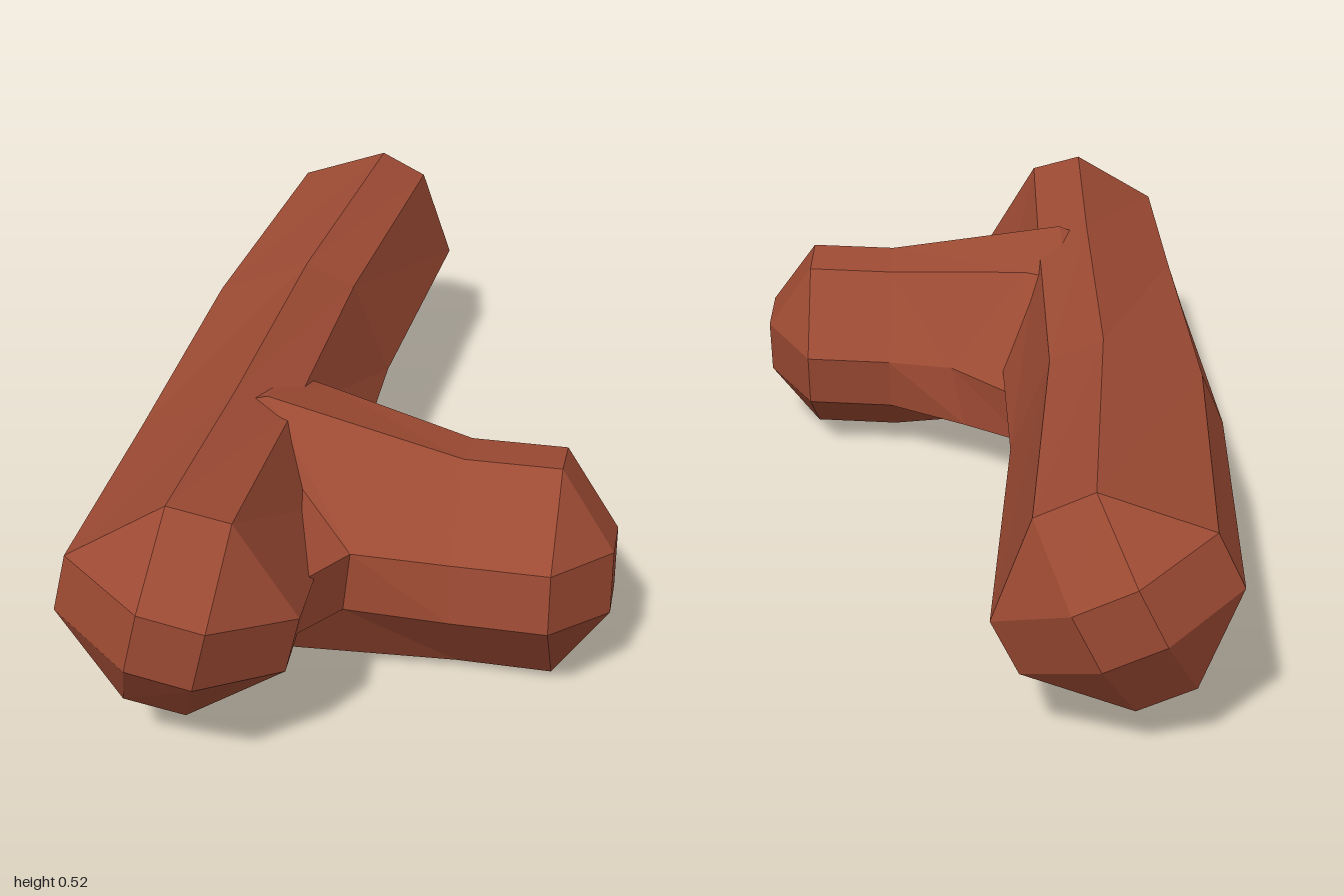
import * as THREE from 'three';

const RAD = Math.PI / 180;

// Chamfered square outline: 8 [across, up] points, clockwise from the top narrow side
function octagon(ca, cy, tilt, r) {
  const pts = [];
  for (let k = 0; k < 4; k++) {
    for (const d of [-15.5, 15.5]) {
      const a = (tilt + 90 * k + d) * RAD;
      pts.push([ca + r * Math.sin(a), cy + r * Math.cos(a)]);
    }
  }
  return pts;
}

// Small square at the tip, each corner doubled so it joins an octagon
function tipSquare(ca, cy, tilt, r) {
  const q = [0, 1, 2, 3].map((k) => {
    const a = (tilt + 90 * k - 45) * RAD;
    return [ca + r * Math.sin(a), cy + r * Math.cos(a)];
  });
  return [0, 1, 1, 2, 2, 3, 3, 0].map((i) => q[i]);
}

// Skins consecutive 8-point rings and closes both ends
function loft(rings) {
  const pos = [];
  const tri = (a, b, c) => {
    const u = new THREE.Vector3(...b).sub(new THREE.Vector3(...a));
    const v = new THREE.Vector3(...c).sub(new THREE.Vector3(...a));
    if (u.cross(v).length() > 1e-8) pos.push(...a, ...b, ...c);
  };
  for (let s = 0; s + 1 < rings.length; s++) {
    const a = rings[s], b = rings[s + 1];
    for (let i = 0; i < 8; i++) {
      const j = (i + 1) % 8;
      tri(a[i], b[i], a[j]);
      tri(a[j], b[i], b[j]);
    }
  }
  const first = rings[0], last = rings[rings.length - 1];
  for (let i = 1; i < 7; i++) {
    tri(first[0], first[i], first[i + 1]);
    tri(last[0], last[i + 1], last[i]);
  }
  const g = new THREE.BufferGeometry();
  g.setAttribute('position', new THREE.Float32BufferAttribute(pos, 3));
  g.computeVertexNormals();
  return g;
}

export function createModel() {
  const group = new THREE.Group();
  group.name = 'forkedLog';
  const bark = new THREE.MeshStandardMaterial({ color: 0x9c4a33, flatShading: true });

  const add = (name, rings) => {
    const mesh = new THREE.Mesh(loft(rings), bark);
    mesh.name = name;
    group.add(mesh);
  };

  // Main limb, slightly bowed, running back to front along z
  const alongZ = (pts, z, slant = 0) => pts.map(([x, y]) => [x, y, z + slant * (x + 0.24)]);
  add('mainLimb', [
    alongZ(tipSquare(-0.242, 0.32, 26, 0.083), -1, 0.03),
    alongZ(octagon(-0.242, 0.313, 26, 0.213), -0.905, 0.04),
    alongZ(octagon(-0.28, 0.288, 24, 0.213), -0.23),
    alongZ(octagon(-0.255, 0.292, 19, 0.213), 0.4),
    alongZ(octagon(-0.235, 0.307, 14, 0.213), 0.865, -0.07),
    alongZ(tipSquare(-0.217, 0.316, 14, 0.083), 0.995, -0.05),
  ]);

  // Side branch towards +x, flaring where it grows out of the limb
  const alongX = (pts, x) => pts.map(([z, y]) => [x, y, z]);
  add('sideBranch', [
    alongX(tipSquare(0.45, 0.217, 82, 0.085), 0.485),
    alongX(octagon(0.44, 0.22, 82, 0.213), 0.382),
    alongX(octagon(0.43, 0.217, 82, 0.213), 0.2),
    [
      [0.02, 0.31, 0.63], [0.005, 0.19, 0.63], [-0.22, 0.035, 0.55], [-0.21, 0.035, 0.42],
      [0.03, 0.12, 0.16], [0.06, 0.25, 0.18], [-0.1, 0.45, 0.25], [-0.18, 0.5, 0.41],
    ],
    [
      [-0.045, 0.315, 0.74], [-0.06, 0.2, 0.74], [-0.34, 0.1, 0.62], [-0.36, 0.1, 0.36],
      [-0.11, 0.125, 0.06], [-0.07, 0.235, 0.08], [-0.2, 0.45, 0.2], [-0.24, 0.48, 0.4],
    ],
  ]);

  return group;
}
